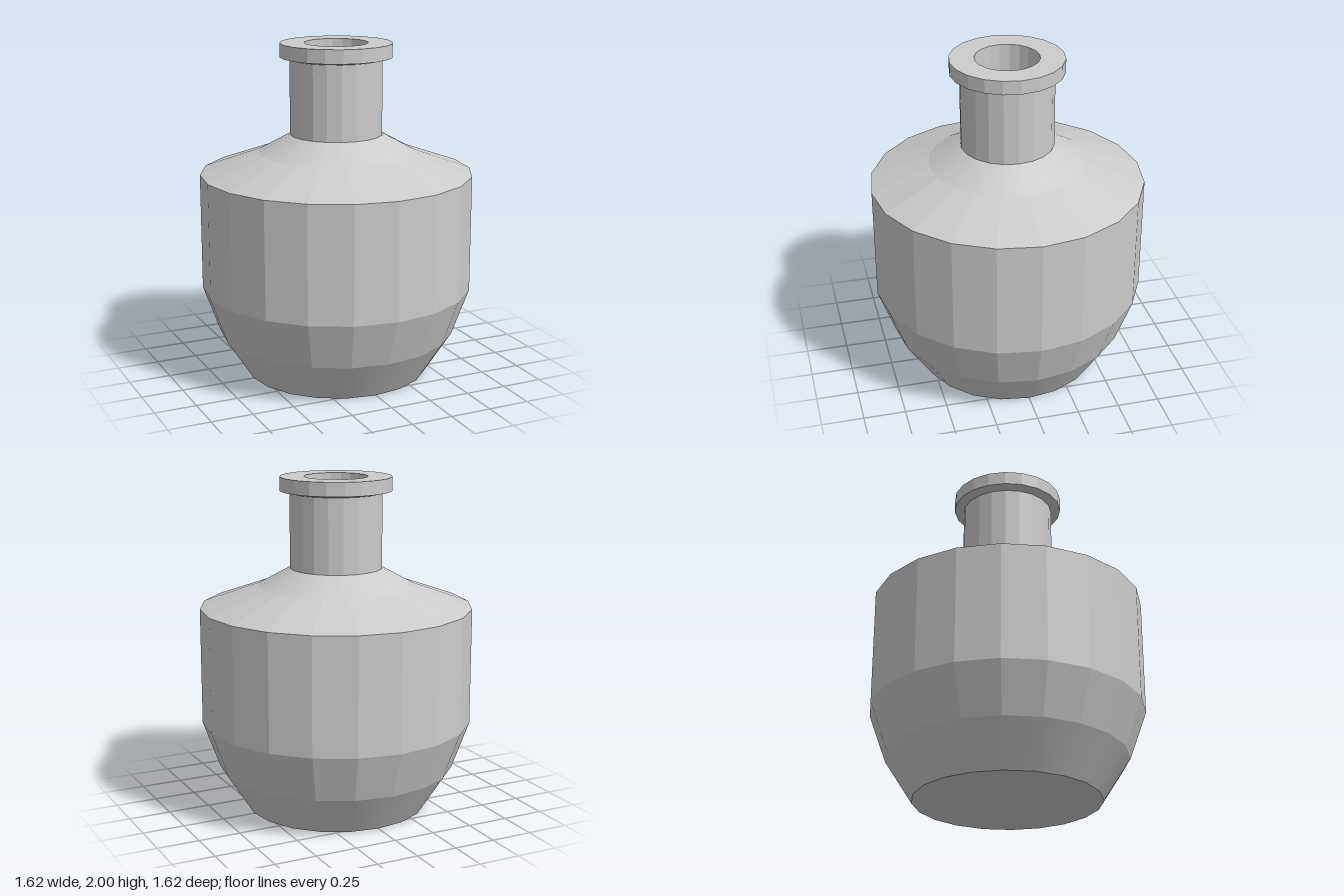
import * as THREE from 'three';

const SIDES = 20;
const smooth = new THREE.MeshStandardMaterial({ color: 0xcccccc });
const faceted = new THREE.MeshStandardMaterial({ color: 0xcccccc, flatShading: true });

// Revolves a short [radius, height] profile into one named ring of the bottle.
function ring(name, profile, material = faceted) {
  const points = profile.map(([r, y]) => new THREE.Vector2(r, y));
  const mesh = new THREE.Mesh(new THREE.LatheGeometry(points, SIDES), material);
  mesh.name = name;
  return mesh;
}

export function createModel() {
  const bottle = new THREE.Group();
  bottle.name = 'bottle';
  bottle.add(
    // Outer shell, from the ground up
    ring('bottom', [[0, 0], [0.55, 0]]),
    ring('foot', [[0.55, 0], [0.71, 0.25]], smooth),
    ring('lowerBody', [[0.71, 0.25], [0.812, 0.535]]),
    ring('body', [[0.812, 0.535], [0.812, 1.23]]),
    ring('shoulder', [[0.812, 1.23], [0.465, 1.355]]),
    ring('upperShoulder', [[0.465, 1.355], [0.275, 1.46]], smooth),
    ring('neck', [[0.275, 1.46], [0.275, 1.905]]),
    // Lip: sloped underside, rim and flat top
    ring('lip', [[0.275, 1.905], [0.333, 1.918], [0.333, 2], [0.188, 2]]),
    // Bore and hollow interior, from the mouth down
    ring('bore', [[0.188, 2], [0.188, 1.42]]),
    ring('cavity', [[0.188, 1.42], [0.44, 1.28], [0.73, 1.17], [0.73, 0.55],
      [0.64, 0.28], [0.5, 0.08], [0, 0.08]]),
  );
  return bottle;
}
